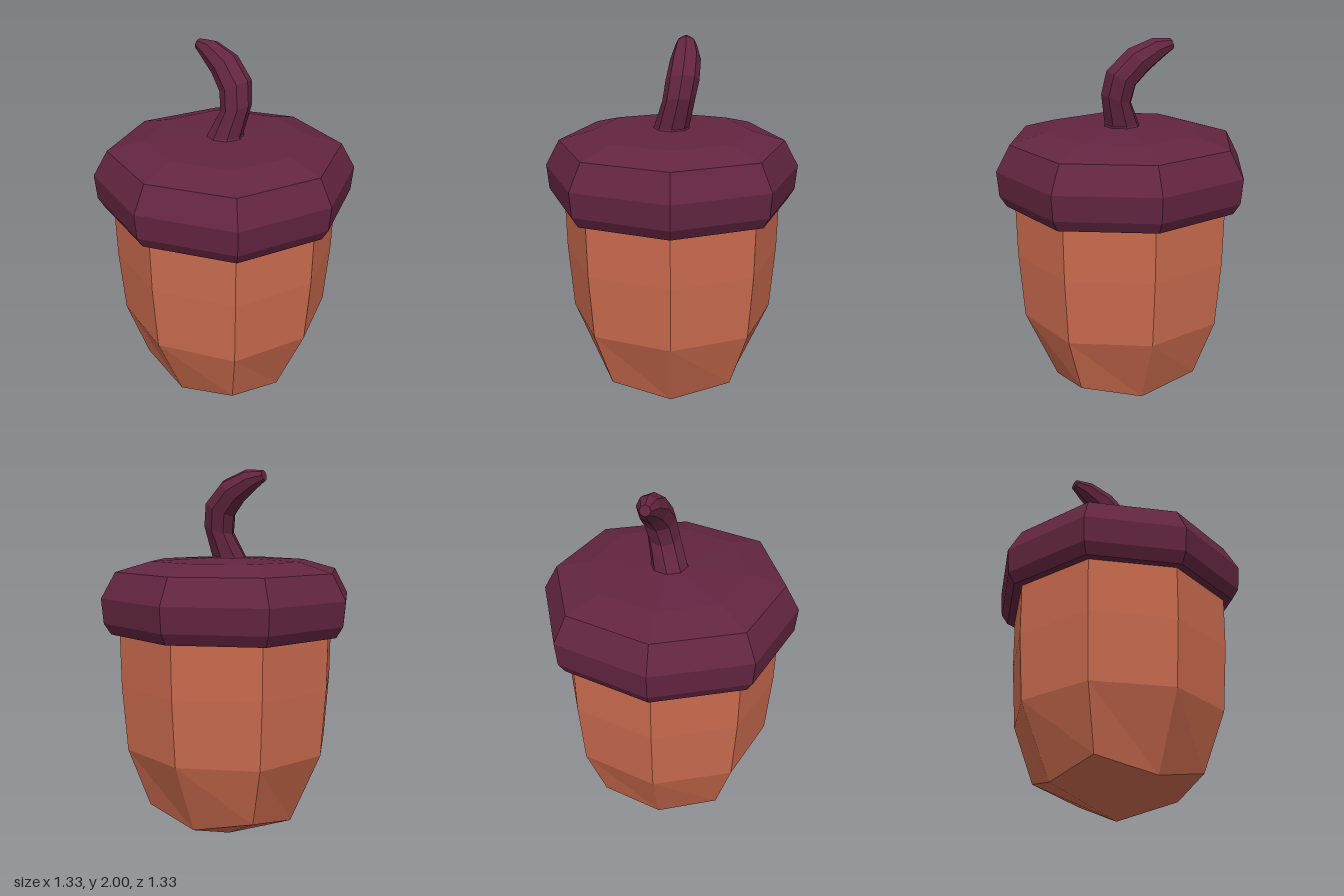
import * as THREE from 'three';

const SIDES = 8;

// Skins a stack of rings from bottom to top with faceted, outward faces.
function loft(rings) {
  const pos = [];
  const tri = (a, b, c) => {
    if (a.distanceTo(b) < 1e-5 || b.distanceTo(c) < 1e-5 || c.distanceTo(a) < 1e-5) return;
    pos.push(...a.toArray(), ...b.toArray(), ...c.toArray());
  };
  for (let i = 0; i < rings.length - 1; i++) {
    const lo = rings[i], hi = rings[i + 1];
    for (let j = 0; j < SIDES; j++) {
      const k = (j + 1) % SIDES;
      tri(lo[j], hi[j], hi[k]);
      tri(lo[j], hi[k], lo[k]);
    }
  }
  const geo = new THREE.BufferGeometry();
  geo.setAttribute('position', new THREE.Float32BufferAttribute(pos, 3));
  geo.computeVertexNormals();
  return geo;
}

// Upright octagon; the diagonal corners may differ from the axis corners.
function octagon(r, y, rDiag = r * 1.028, yDiag = y) {
  return Array.from({ length: SIDES }, (_, j) => {
    const a = (j / SIDES) * Math.PI * 2, odd = j % 2;
    const rad = odd ? rDiag : r;
    return new THREE.Vector3(rad * Math.cos(a), odd ? yDiag : y, rad * Math.sin(a));
  });
}

// Octagon leaning towards -x by the given degrees.
function tilted(x, y, z, r, degrees) {
  const t = THREE.MathUtils.degToRad(degrees);
  return Array.from({ length: SIDES }, (_, j) => {
    const a = (j / SIDES) * Math.PI * 2, c = r * Math.cos(a);
    return new THREE.Vector3(x + c * Math.cos(t), y + c * Math.sin(t), z + r * Math.sin(a));
  });
}

export function createModel() {
  const group = new THREE.Group();
  const nutBrown = new THREE.MeshStandardMaterial({ color: 0xcb6b4e });
  const plum = new THREE.MeshStandardMaterial({ color: 0x632541 });

  const add = (name, rings, material) => {
    const mesh = new THREE.Mesh(loft(rings), material);
    mesh.name = name;
    group.add(mesh);
  };

  // Nut with a pointed, faceted base
  add('nut', [
    octagon(0, 0),
    octagon(0.378, 0.146, 0.446, 0.214),
    octagon(0.546, 0.53),
    octagon(0.572, 0.88),
    octagon(0.577, 1.2),
  ], nutBrown);

  // Overhanging cap, closed underneath
  add('cap', [
    octagon(0.5, 1.16),
    octagon(0.62, 1.157),
    octagon(0.656, 1.215),
    octagon(0.667, 1.345),
    octagon(0.593, 1.48),
    octagon(0.41, 1.533),
    octagon(0.1, 1.547),
    octagon(0, 1.547),
  ], plum);

  // Curved stem, ending in a small blunt tip
  add('stem', [
    tilted(0, 1.54, 0, 0.1, 0),
    tilted(0, 1.555, 0, 0.092, 0),
    tilted(0.04, 1.695, -0.035, 0.083, 17),
    tilted(0.02, 1.80, -0.055, 0.086, 27),
    tilted(-0.065, 1.89, -0.07, 0.079, 46),
    tilted(-0.168, 1.947, -0.073, 0.057, 62),
    tilted(-0.243, 1.965, -0.073, 0.028, 76),
    tilted(-0.243, 1.965, -0.073, 0, 76),
  ], plum);

  return group;
}
